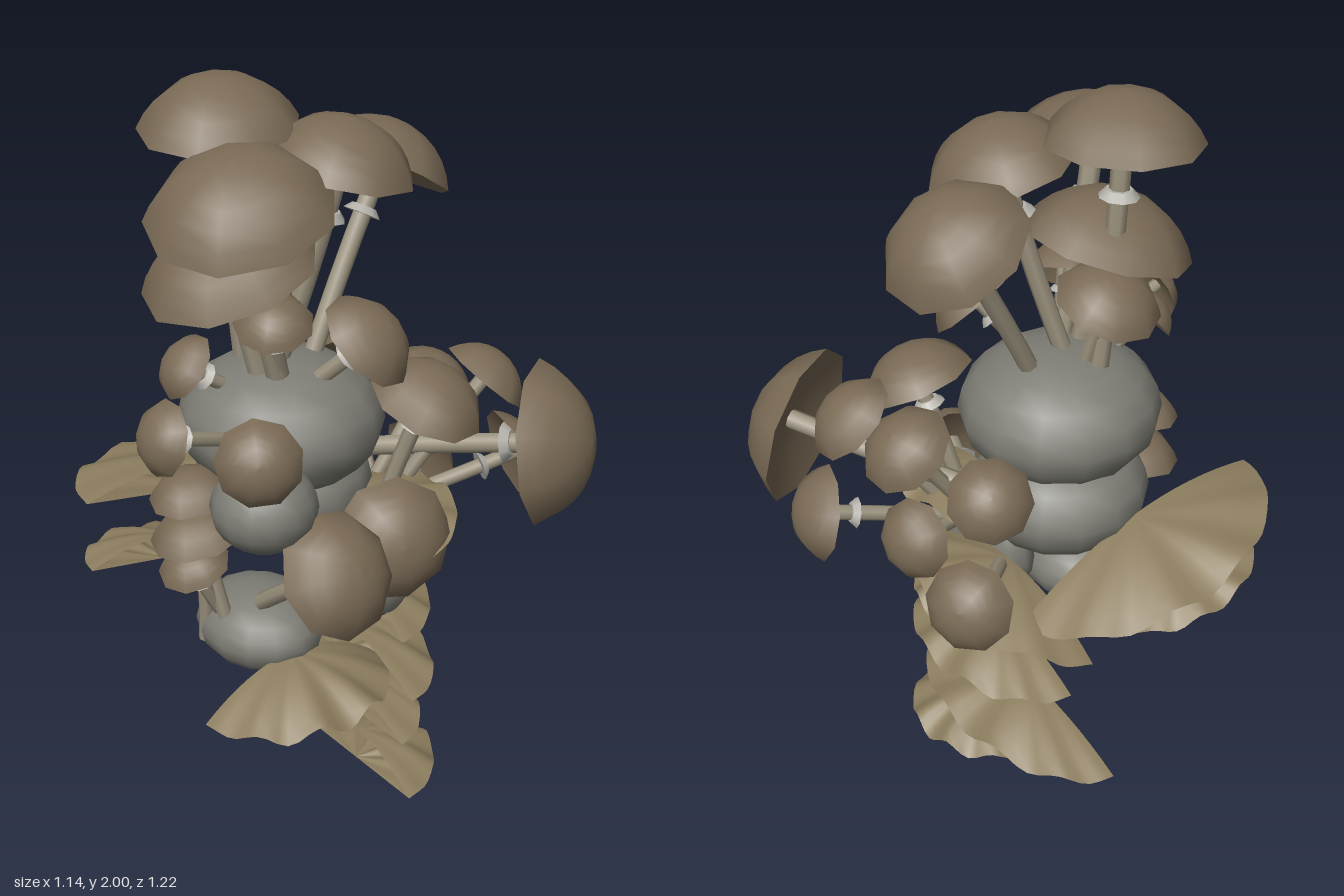
import * as THREE from 'three';

const capMat = new THREE.MeshStandardMaterial({ color: 0x7a6a55 });
const stemMat = new THREE.MeshStandardMaterial({ color: 0x9a917d });
const ringMat = new THREE.MeshStandardMaterial({ color: 0xb5b3ab });
const rockMat = new THREE.MeshStandardMaterial({ color: 0x7d7c74 });
const shelfMat = new THREE.MeshStandardMaterial({ color: 0x8c7d5e, side: THREE.DoubleSide });
const UP = new THREE.Vector3(0, 1, 0);

function add(parent, name, geo, mat) {
  const mesh = new THREE.Mesh(geo, mat);
  mesh.name = name;
  parent.add(mesh);
  return mesh;
}

// Nine-sided cap (a slice of a ball) and its shallow hollow underside; rim at y = 0
function addCap(parent, r, h) {
  const under = [[0, 0.35], [0.5, 0.28], [1, 0]].map(([x, y]) => new THREE.Vector2(x * r, y * h));
  const dome = [], sweep = 1.13;
  for (let i = 0; i <= 6; i++) {
    const a = sweep * (1 - i / 6);
    const rise = (Math.cos(a) - Math.cos(sweep)) / (1 - Math.cos(sweep));
    dome.push(new THREE.Vector2(r * Math.sin(a) / Math.sin(sweep), h * rise));
  }
  add(parent, 'capUnderside', new THREE.LatheGeometry(under, 9), capMat);
  add(parent, 'capDome', new THREE.LatheGeometry(dome, 9), capMat);
}

// Mushroom growing from base to rim centre; the cap faces away from the base
function addMushroom(parent, base, centre, r, spin) {
  const g = new THREE.Group();
  g.name = 'mushroom';
  parent.add(g);
  const dir = centre.clone().sub(base).normalize();
  const h = r * 0.64, stemR = 0.012 + r * 0.07;

  const cap = new THREE.Group();
  cap.name = 'cap';
  cap.position.copy(centre);
  cap.quaternion.setFromUnitVectors(UP, dir);
  addCap(cap, r, h);
  g.add(cap);

  // Roots spread around the base so the stems fan out
  const root = base.clone().add(new THREE.Vector3(Math.cos(spin), 0, Math.sin(spin)).multiplyScalar(0.05));
  const top = centre.clone().addScaledVector(dir, h * 0.35);
  const mid = centre.clone().addScaledVector(dir, -0.4 * centre.distanceTo(base));
  const curve = new THREE.QuadraticBezierCurve3(root, mid, top);
  add(g, 'stem', new THREE.TubeGeometry(curve, 6, stemR, 7), stemMat);

  // Flared collar on the stem
  const ring = add(g, 'collar', new THREE.CylinderGeometry(stemR * 1.3, stemR * 2, stemR * 0.8, 9), ringMat);
  ring.position.copy(curve.getPoint(0.75));
  ring.quaternion.setFromUnitVectors(UP, curve.getTangent(0.75));
}

// Half-elliptical bracket with a waved rim, flat edge on local z = 0, growing toward +z
function shelfGeometry(half, depth, h) {
  const NA = 30, NT = 8, pos = [], idx = [];
  for (const under of [false, true]) {
    const start = pos.length / 3;
    for (let i = 0; i <= NA; i++) {
      const a = Math.PI * i / NA;
      for (let j = 0; j <= NT; j++) {
        const t = j / NT;
        const wave = 0.2 * h * (1 + Math.cos(a * 10)) * Math.sin(a);
        const y = under ? wave * t : h * (1 - t * t) + wave * t * t;
        pos.push(Math.cos(a) * half * t, y, Math.sin(a) * depth * t);
      }
    }
    for (let i = 0; i < NA; i++) for (let j = 0; j < NT; j++) {
      const p = start + i * (NT + 1) + j, q = p + NT + 1;
      if (under) idx.push(p, p + 1, q, q, p + 1, q + 1);
      else idx.push(p, q, p + 1, q, q + 1, p + 1);
    }
  }
  const g = new THREE.BufferGeometry();
  g.setAttribute('position', new THREE.Float32BufferAttribute(pos, 3));
  g.setIndex(idx);
  g.computeVertexNormals();
  return g;
}

export function createModel() {
  const root = new THREE.Group();
  root.name = 'fungusCluster';

  // Rounded boulders
  const boulder = (x, y, z, rx, ry, rz) => {
    const m = add(root, 'boulder', new THREE.SphereGeometry(1, 14, 10), rockMat);
    m.position.set(x, y, z);
    m.scale.set(rx, ry, rz);
  };
  boulder(0, 1.11, 0.1, 0.27, 0.18, 0.27);
  boulder(-0.05, 0.9, 0.06, 0.24, 0.16, 0.24);
  boulder(0.22, 1.02, 0.32, 0.135, 0.115, 0.135);
  boulder(0.12, 0.69, -0.07, 0.19, 0.18, 0.1);
  boulder(0.03, 0.535, 0.2, 0.19, 0.11, 0.165);

  // Bracket fungi: a ladder of them up the back, then the two sides; tilt raises the rear end
  const shelf = (x, y, z, turn, half, depth, h, tilt = 0) => {
    const m = add(root, 'bracketFungus', shelfGeometry(half, depth, h), shelfMat);
    m.position.set(x, y, z);
    m.rotation.set(tilt, turn, 0);
  };
  const ladder = [[0.13, 0.235], [-0.055, 0.385], [0.055, 0.31], [0.1, 0.22]];
  ladder.forEach(([x, half], i) => shelf(x, i * 0.168, -0.06, Math.PI, half, 0.22, 0.1));
  shelf(-0.08, 0.66, -0.16, Math.PI, 0.37, 0.23, 0.1, 0.25);
  shelf(0.18, 0.82, -0.06, Math.PI, 0.24, 0.22, 0.08, 0.2);
  shelf(0.18, 0.41, 0.215, Math.PI / 2, 0.275, 0.25, 0.11);
  shelf(-0.27, 0.8, 0.145, -Math.PI / 2, 0.4, 0.29, 0.09, -0.2);
  shelf(-0.29, 0.61, 0.29, -Math.PI / 2, 0.24, 0.18, 0.07, -0.2);

  // Mushroom clumps: shared base, then rim centre and radius of each cap
  const clump = (bx, by, bz, caps) => {
    const base = new THREE.Vector3(bx, by, bz);
    caps.forEach(([x, y, z, r], i) => addMushroom(root, base, new THREE.Vector3(x, y, z), r, i * 2.4));
  };
  // Crown
  clump(0.01, 1.12, 0.12, [
    [0.12, 1.74, 0.3, 0.23], [0.11, 1.79, 0, 0.19], [-0.02, 1.71, -0.24, 0.19],
    [0, 1.54, 0.25, 0.225], [-0.12, 1.46, 0.15, 0.14], [0.12, 1.44, 0.21, 0.1],
    [0.22, 1.37, 0, 0.135], [-0.04, 1.31, 0.36, 0.09],
  ]);
  // Topmost, leaning the other way
  clump(-0.14, 1.15, 0.14, [[-0.1, 1.872, 0.2, 0.2]]);
  // Back
  clump(0.1, 0.78, -0.1, [
    [0.26, 1.17, -0.17, 0.155], [0.24, 0.9, -0.5, 0.13], [0.23, 1.16, -0.4, 0.125],
    [0.03, 0.87, -0.36, 0.11], [0.08, 1.12, -0.34, 0.125], [-0.2, 1.1, -0.29, 0.11],
    [0.31, 0.84, -0.02, 0.165],
  ]);
  // Back corner and large sideways one
  clump(-0.17, 0.8, -0.2, [[-0.32, 0.93, -0.45, 0.115]]);
  clump(-0.05, 0.94, -0.15, [[0.43, 1.04, -0.42, 0.22]]);
  // Low front
  clump(0.04, 0.64, 0.24, [[0.38, 0.86, 0.22, 0.165]]);
  clump(0, 0.5, 0.3, [[-0.01, 0.97, 0.38, 0.11], [-0.02, 0.84, 0.36, 0.125], [0.02, 0.78, 0.4, 0.095]]);
  // Upper front
  clump(0.14, 1.15, 0.27, [[0.38, 1.25, 0.45, 0.105], [0.13, 1.24, 0.54, 0.095]]);

  return root;
}
